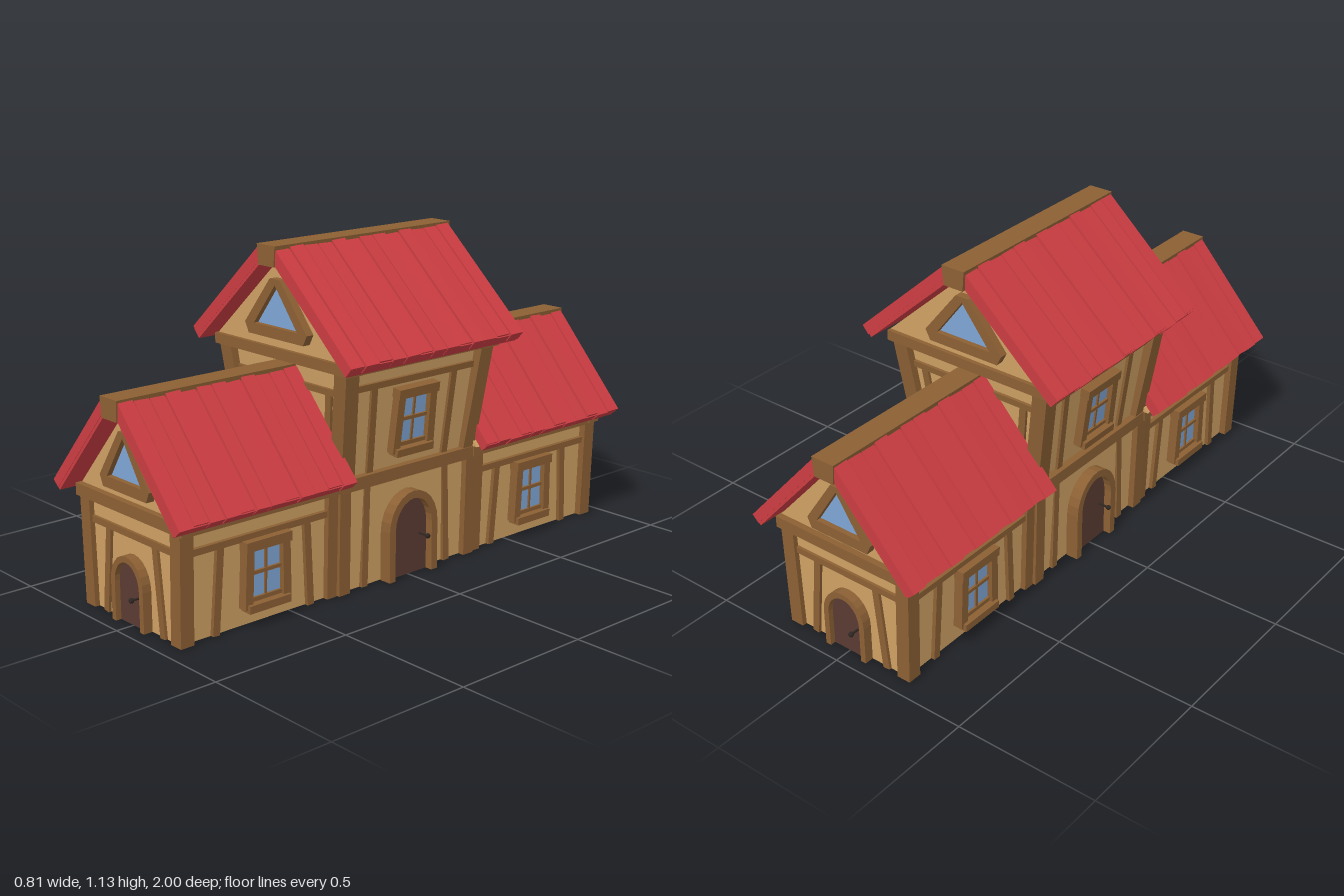
import * as THREE from 'three';

const mat = (color) => new THREE.MeshStandardMaterial({ color, flatShading: true });
const M = {
  wall: mat(0xcfa164), wood: mat(0x8c6034), roof: mat(0xcc3d42),
  door: mat(0x5a3b32), glass: mat(0x7fa6d6), iron: mat(0x2e2622),
};

function add(parent, name, geo, material, x = 0, y = 0, z = 0) {
  const m = new THREE.Mesh(geo, material);
  m.name = name;
  m.position.set(x, y, z);
  parent.add(m);
  return m;
}

function group(parent, name, x = 0, y = 0, z = 0, ry = 0, tilt = 0) {
  const g = new THREE.Group();
  g.name = name;
  g.position.set(x, y, z);
  g.rotation.set(tilt, ry, 0, 'YXZ');
  parent.add(g);
  return g;
}

const box = (w, h, d) => new THREE.BoxGeometry(w, h, d);

// Box standing on y = 0 whose top has its own width and depth
function flared(w0, d0, w1, d1, h) {
  const g = box(1, h, 1).translate(0, h / 2, 0), p = g.attributes.position;
  for (let i = 0; i < p.count; i++) {
    const top = p.getY(i) > h / 2;
    p.setX(i, p.getX(i) * (top ? w1 : w0));
    p.setZ(i, p.getZ(i) * (top ? d1 : d0));
  }
  g.computeVertexNormals();
  return g;
}

const polygon = (pts) => new THREE.Shape(pts.map(([x, y]) => new THREE.Vector2(x, y)));
const extrude = (shape, depth) =>
  new THREE.ExtrudeGeometry(shape, { depth, bevelEnabled: false, curveSegments: 6 });

// Square post between two points
function post(parent, name, a, b, w) {
  const A = new THREE.Vector3(...a), B = new THREE.Vector3(...b);
  const g = box(w, w, w), p = g.attributes.position;
  for (let i = 0; i < p.count; i++) {
    const e = p.getY(i) > 0 ? B : A;
    p.setXYZ(i, p.getX(i) + e.x, e.y, p.getZ(i) + e.z);
  }
  g.computeVertexNormals();
  add(parent, name, g, M.wood);
}

// Flat timber strip on a wall face (local x, y; wall at z = 0)
function strip(parent, x0, y0, x1, y1, w = 0.026) {
  const m = add(parent, 'timberStrip', box(w, Math.hypot(x1 - x0, y1 - y0), 0.016), M.wood,
    (x0 + x1) / 2, (y0 + y1) / 2, 0.002);
  m.rotation.z = -Math.atan2(x1 - x0, y1 - y0);
}

// Arched door with frame and knob, facing +z
function door(parent, w, h, depth) {
  const g = group(parent, 'door');
  const t = w * 0.24, s = h * 0.58, i = w - t;
  const outline = (shape, r, top) => {
    shape.moveTo(-r, 0).lineTo(r, 0).lineTo(r, s);
    shape.absellipse(0, s, r, top - s, 0, Math.PI, false, 0);
    shape.lineTo(-r, 0);
    return shape;
  };
  const frame = new THREE.Shape();
  frame.moveTo(i, 0).lineTo(w, 0).lineTo(w, s);
  frame.absellipse(0, s, w, h - s, 0, Math.PI, false, 0);
  frame.lineTo(-w, 0).lineTo(-i, 0).lineTo(-i, s);
  frame.absellipse(0, s, i, h - t - s, Math.PI, 0, true, 0);
  add(g, 'doorFrame', extrude(frame, depth), M.wood);
  add(g, 'doorPanel', extrude(outline(new THREE.Shape(), i, h - t), depth * 0.4), M.door);
  const k = add(g, 'knobStem', new THREE.CylinderGeometry(0.004, 0.004, 0.03, 6), M.iron,
    w * 0.48, h * 0.44, depth * 0.4 + 0.015);
  k.rotation.x = Math.PI / 2;
  add(g, 'knob', new THREE.SphereGeometry(0.009, 8, 6), M.iron, w * 0.48, h * 0.44, depth + 0.012);
}

// Rectangular window with glazing bars and a deeper sill, centred, facing +z
function sashWindow(parent, y) {
  const g = group(parent, 'window', 0, y);
  for (const s of [-1, 1]) {
    const jamb = add(g, 'jamb', box(0.03, 0.215, 0.035), M.wood, s * 0.074, 0, 0.012);
    jamb.rotation.z = s * 0.03;
  }
  add(g, 'lintel', box(0.18, 0.032, 0.042), M.wood, 0, 0.1, 0.014);
  add(g, 'sill', box(0.165, 0.026, 0.05), M.wood, 0, -0.104, 0.016);
  add(g, 'glass', box(0.13, 0.19, 0.012), M.glass, 0, 0, 0.004);
  add(g, 'verticalBar', box(0.008, 0.19, 0.02), M.wood, 0, 0, 0.006);
  add(g, 'horizontalBar', box(0.13, 0.012, 0.024), M.wood, 0, 0.005, 0.006);
  add(g, 'lowerRail', box(0.13, 0.014, 0.024), M.wood, 0, -0.083, 0.006);
}

// Triangular gable window with clipped corners, facing +z
function gableWindow(parent, y, w, h, z) {
  const g = group(parent, 'gableWindow', 0, y, z);
  const frame = polygon([[-w * 0.88, 0], [w * 0.88, 0], [w, h * 0.18], [w * 0.16, h], [-w * 0.16, h], [-w, h * 0.18]]);
  const inner = [[-w * 0.7, h * 0.19], [0, h * 0.9], [w * 0.7, h * 0.19]];
  frame.holes.push(new THREE.Path(inner.map(([a, b]) => new THREE.Vector2(a, b))));
  add(g, 'gableFrame', extrude(frame, 0.028), M.wood);
  add(g, 'gableGlass', extrude(polygon(inner), 0.01), M.glass);
}

// Pitched roof of planks with a ridge beam; (x0,y0)-(x1,y1) is the top slope line
function roof(parent, { x0, y0, x1, y1, z0, z1, t, count, ridgeZ0, ridgeTop }) {
  const g = group(parent, 'roof');
  const ang = Math.atan2(y0 - y1, x1 - x0), len = Math.hypot(x1 - x0, y0 - y1);
  const w = (z1 - z0) / count;
  for (const s of [-1, 1]) {
    const slope = group(g, 'roofSlope', s * x0, y0);
    slope.rotation.z = -s * ang;
    // solid underlay below the planks
    add(slope, 'roofDeck', box(len, t - 0.008, z1 - z0 - 0.006), M.roof, s * len / 2, -t / 2 - 0.004, (z0 + z1) / 2);
    for (let i = 0; i < count; i++) {
      const lift = 0.003 * Math.sin(i * 2.4 + s), ext = 0.004 * Math.sin(i * 4.1 + s);
      const plank = add(slope, 'roofPlank', box(len + ext, t * 0.8, w - 0.004), M.roof,
        s * (len + ext) / 2, -t * 0.4 + lift, z0 + (i + 0.5) * w);
      plank.rotation.x = 0.03 * Math.sin(i * 1.7 + s);
    }
  }
  const rl = z1 - ridgeZ0 + 0.006;
  add(g, 'ridgeBeam', flared(0.076, rl, 0.088, rl, 0.068), M.wood, 0, ridgeTop - 0.068, (ridgeZ0 + z1) / 2);
}

const gable = (halfW, base, apex) => polygon([[-halfW, base], [halfW, base], [0, apex]]);

// Single-storey wing facing +z
function wing(parent, ry) {
  const g = group(parent, 'wing', 0, 0, 0, ry);
  add(g, 'wingWalls', flared(0.46, 0.65, 0.48, 0.65, 0.4), M.wall, 0, 0, 0.6);
  const gb = add(g, 'wingGable', extrude(gable(0.285, 0.39, 0.705), 0.63), M.wall, 0, 0, 0.295);
  gb.name = 'wingGable';
  for (const s of [-1, 1]) {
    post(g, 'cornerPost', [s * 0.229, 0, 0.917], [s * 0.24, 0.37, 0.917], 0.05);
    post(g, 'innerPost', [s * 0.229, 0, 0.335], [s * 0.24, 0.37, 0.335], 0.04);
    add(g, 'sideBeam', box(0.04, 0.04, 0.64), M.wood, s * 0.252, 0.375, 0.615);
    const side = group(g, 'wingSide', s * 0.234, 0, 0.61, s * Math.PI / 2, 0.025);
    sashWindow(side, 0.168);
    strip(side, -0.29, 0.292, 0.29, 0.292, 0.022);
    for (const k of [-1, 1]) strip(side, k * 0.19, 0, k * 0.172, 0.285);
  }
  add(g, 'frontBeam', box(0.56, 0.04, 0.05), M.wood, 0, 0.38, 0.922);
  const front = group(g, 'wingFront', 0, 0, 0.925);
  strip(front, -0.21, 0.295, 0.21, 0.295, 0.022);
  for (const s of [-1, 1]) strip(front, s * 0.152, 0, s * 0.122, 0.285);
  door(front, 0.085, 0.23, 0.032);
  gableWindow(g, 0.43, 0.13, 0.195, 0.925);
  roof(g, { x0: 0.035, y0: 0.738, x1: 0.333, y1: 0.408, z0: 0.3, z1: 0.995, t: 0.042, count: 12, ridgeZ0: 0.28, ridgeTop: 0.74 });
}

// Two-storey central tower
function tower(parent) {
  const g = group(parent, 'tower');
  add(g, 'lowerWalls', flared(0.47, 0.59, 0.49, 0.59, 0.39), M.wall);
  add(g, 'upperWalls', flared(0.48, 0.56, 0.57, 0.61, 0.38), M.wall, 0, 0.38, 0);
  add(g, 'upperGable', extrude(gable(0.34, 0.78, 1.085), 0.65), M.wall, 0, 0, -0.325);
  for (const s of [-1, 1]) {
    for (const k of [-1, 1]) {
      post(g, 'lowerPost', [s * 0.235, 0, k * 0.288], [s * 0.243, 0.37, k * 0.288], 0.046);
      post(g, 'upperPost', [s * 0.235, 0.38, k * 0.277], [s * 0.291, 0.76, k * 0.305], 0.056);
    }
    add(g, 'floorBeam', box(0.045, 0.042, 0.6), M.wood, s * 0.245, 0.37, 0);
    add(g, 'upperSideBeam', box(0.05, 0.036, 0.66), M.wood, s * 0.308, 0.768, 0);
    add(g, 'upperEndBeam', box(0.67, 0.036, 0.06), M.wood, 0, 0.768, s * 0.31);

    // ground-floor side with its door
    const low = group(g, 'lowerSide', s * 0.238, 0, 0, s * Math.PI / 2);
    door(low, 0.11, 0.3, 0.046);
    for (const k of [-1, 1]) strip(low, k * 0.19, 0, k * 0.178, 0.35);

    // leaning upper side with its window
    const up = group(g, 'upperSide', s * 0.24, 0.38, 0, s * Math.PI / 2, 0.118);
    sashWindow(up, 0.172);
    strip(up, -0.27, 0.312, 0.27, 0.312, 0.022);
    for (const k of [-1, 1]) strip(up, k * 0.17, 0, k * 0.18, 0.305);

    // upper end wall above the wing roof
    const end = group(g, 'upperEnd', 0, 0.38, s * 0.28, s > 0 ? 0 : Math.PI, 0.066);
    strip(end, -0.25, 0.297, 0.25, 0.297, 0.022);
    for (const k of [-1, 1]) strip(end, k * 0.17, 0, k * 0.205, 0.29);
    const top = group(g, 'gableEnd', 0, 0, 0, s > 0 ? 0 : Math.PI);
    gableWindow(top, 0.82, 0.155, 0.195, 0.325);
  }
  roof(g, { x0: 0.035, y0: 1.128, x1: 0.4, y1: 0.8, z0: -0.385, z1: 0.385, t: 0.046, count: 13, ridgeZ0: -0.39, ridgeTop: 1.13 });
}

export function createModel() {
  const model = new THREE.Group();
  model.name = 'house';
  tower(model);
  wing(model, 0);
  wing(model, Math.PI);
  return model;
}
